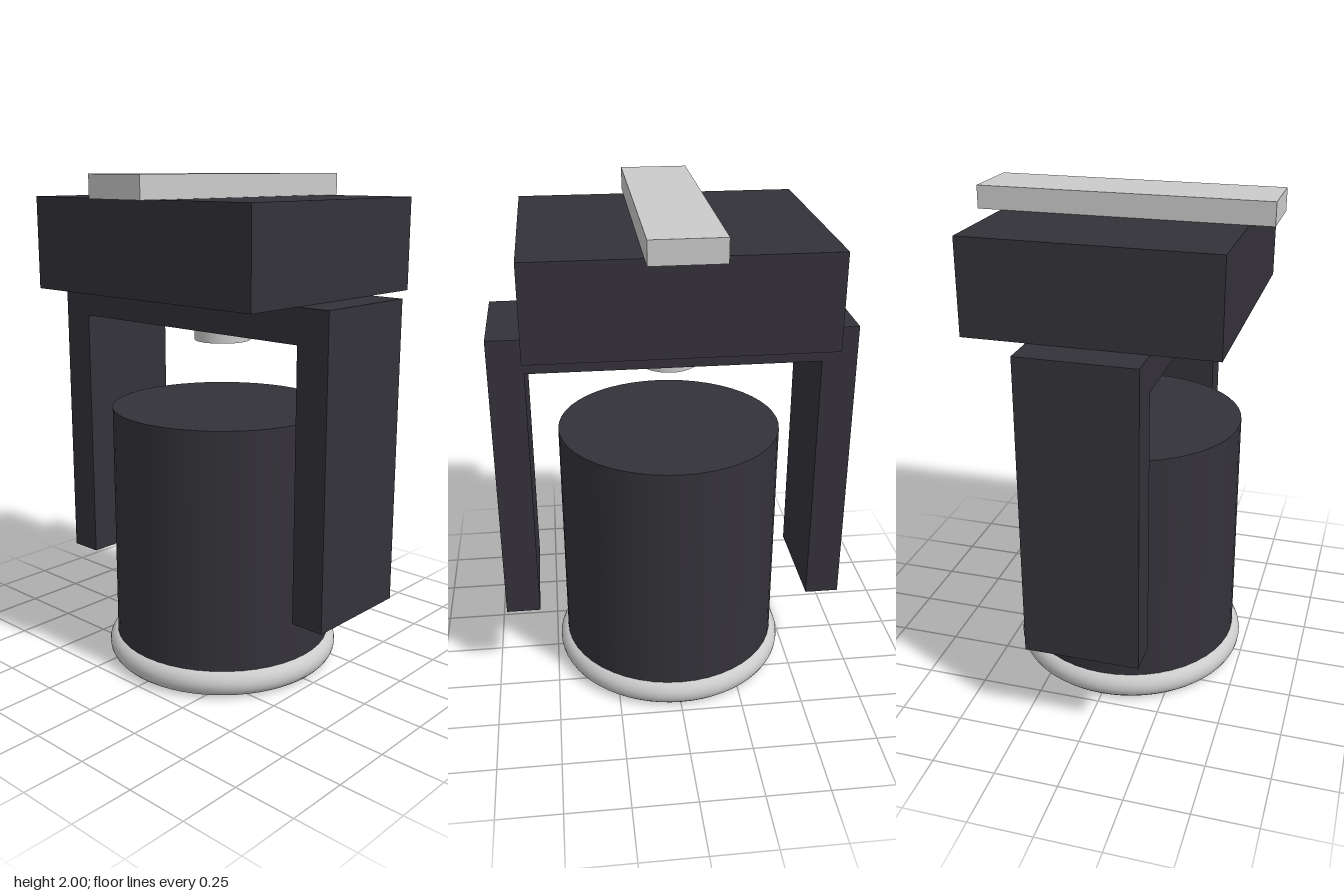
import * as THREE from 'three';

const dark = new THREE.MeshStandardMaterial({ color: 0x343239 });
const grey = new THREE.MeshStandardMaterial({ color: 0xcccccc });

export function createModel() {
  const model = new THREE.Group();
  model.name = 'spotlight';

  const add = (name, geometry, material, y) => {
    const mesh = new THREE.Mesh(geometry, material);
    mesh.name = name;
    mesh.position.y = y;
    model.add(mesh);
    return mesh;
  };
  const cylinder = (name, radius, bottom, top, material) =>
    add(name, new THREE.CylinderGeometry(radius, radius, top - bottom, 48), material, (bottom + top) / 2);
  const box = (name, width, depth, bottom, top, material) =>
    add(name, new THREE.BoxGeometry(width, top - bottom, depth), material, (bottom + top) / 2);

  // Lamp can with a rounded rim at its lower end
  cylinder('lampBody', 0.45, 0.025, 1.078, dark);
  add('lensRim', new THREE.TorusGeometry(0.4275, 0.056, 20, 64), grey, 0.056).rotation.x = Math.PI / 2;

  // U-shaped yoke, drawn as one outline and extruded through its depth
  const outer = 0.7, inner = 0.563, foot = 0.355, under = 1.415, top = 1.55, depth = 0.45;
  const outline = new THREE.Shape([
    [-outer, foot], [-inner, foot], [-inner, under], [inner, under],
    [inner, foot], [outer, foot], [outer, top], [-outer, top],
  ].map(([x, y]) => new THREE.Vector2(x, y)));
  const yoke = new THREE.ExtrudeGeometry(outline, { depth, bevelEnabled: false });
  yoke.translate(0, 0, -depth / 2);
  add('yoke', yoke, dark, 0);

  // Pivot under the yoke, motor housing above it, mounting bar on top
  cylinder('pivot', 0.113, 1.348, 1.45, grey);
  box('baseHousing', 1.126, 0.945, 1.55, 1.912, dark);
  box('mountingBar', 0.27, 1.13, 1.912, 2, grey);

  return model;
}
